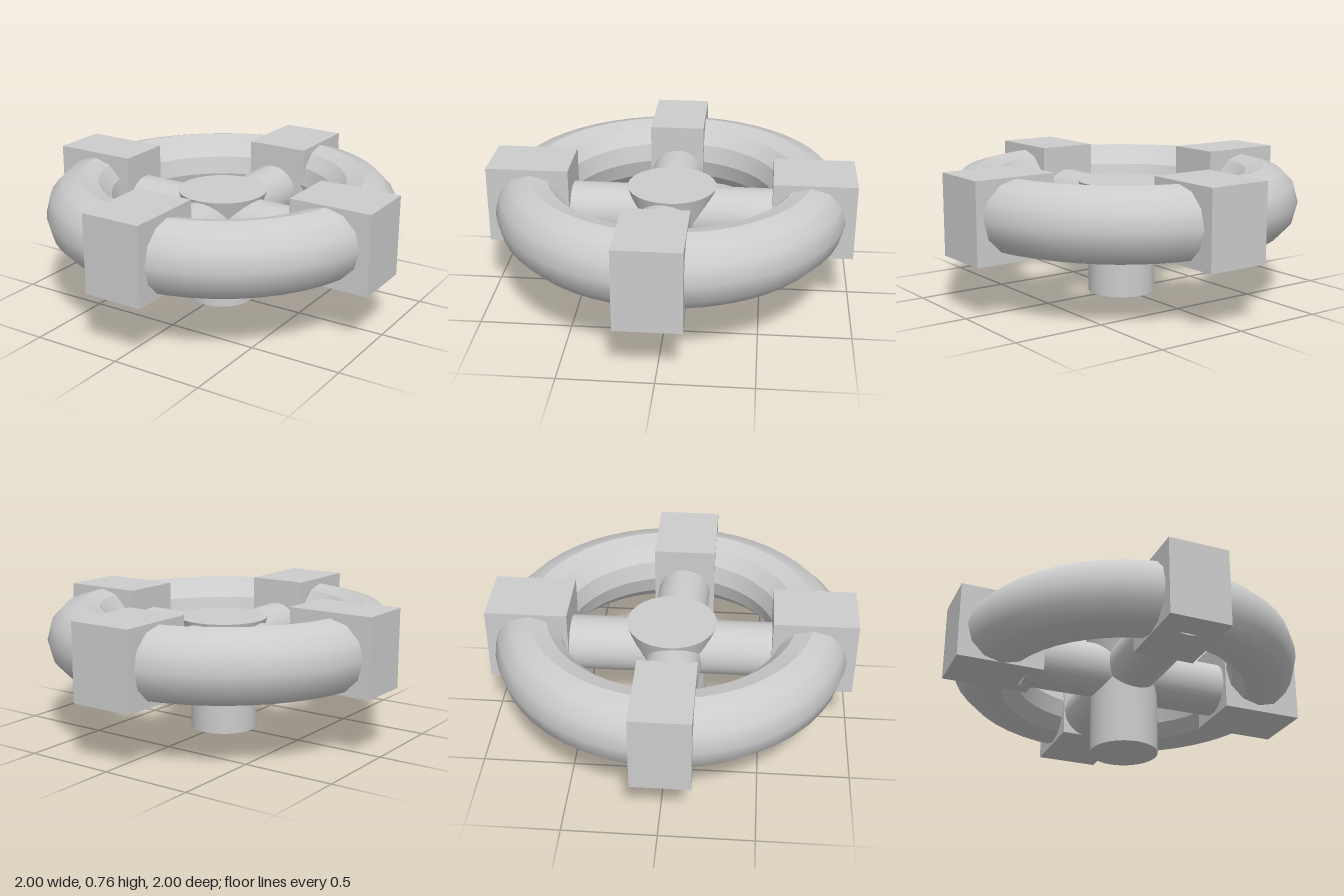
import * as THREE from 'three';

export function createModel() {
  const group = new THREE.Group();
  group.name = 'valveWheel';
  const metal = new THREE.MeshStandardMaterial({ color: 0xcccccc });
  metal.name = 'grey metal';

  function add(geometry, name, parent = group) {
    const mesh = new THREE.Mesh(geometry, metal);
    mesh.name = name;
    parent.add(mesh);
    return mesh;
  }

  // Rim: twelve-sided tube, rounded outside and banded inside
  const rim = new THREE.Group();
  rim.name = 'rim';
  group.add(rim);
  const rimPoint = (i) => {
    const a = (i * Math.PI) / 6;
    return new THREE.Vector2(0.778 + 0.192 * Math.cos(a), 0.53 + 0.198 * Math.sin(a));
  };
  const outer = [-3, -2, -1, 0, 1, 2, 3].map(rimPoint);
  add(new THREE.LatheGeometry(outer, 48), 'rimOuter', rim);
  for (let i = 3; i < 9; i++) {
    add(new THREE.LatheGeometry([rimPoint(i), rimPoint(i + 1)], 48), 'rimInnerBand', rim);
  }

  // Blocks clamped around the rim: min and max corners
  const blocks = [
    ['frontBlock', [-0.17, 0.33, 0.55], [0.165, 0.76, 1]],
    ['backBlock', [-0.155, 0.32, -1], [0.205, 0.742, -0.555]],
    ['leftBlock', [0.54, 0.295, -0.14], [1, 0.737, 0.21]],
    ['rightBlock', [-1, 0.335, -0.14], [-0.525, 0.76, 0.17]],
  ];
  for (const [name, lo, hi] of blocks) {
    const size = hi.map((v, i) => v - lo[i]);
    const mesh = add(new THREE.BoxGeometry(...size), name);
    mesh.position.set(...hi.map((v, i) => (v + lo[i]) / 2));
  }

  // Crossing spokes, each a round bar between two points
  function bar(name, from, to) {
    const a = new THREE.Vector3(...from);
    const b = new THREE.Vector3(...to);
    const mesh = add(new THREE.CylinderGeometry(0.15, 0.15, a.distanceTo(b), 32), name);
    mesh.position.copy(a).lerp(b, 0.5);
    mesh.quaternion.setFromUnitVectors(new THREE.Vector3(0, 1, 0), b.sub(a).normalize());
  }
  bar('sideSpoke', [-0.6, 0.465, 0.01], [0.7, 0.465, 0.037]);
  bar('lengthSpoke', [0, 0.465, -0.68], [0, 0.472, 0.84]);

  // Stem and flared hub cap
  const stem = add(new THREE.CylinderGeometry(0.186, 0.186, 0.45, 32), 'stem');
  stem.position.set(0, 0.225, 0.007);
  const cap = add(new THREE.CylinderGeometry(0.246, 0.186, 0.2, 32), 'hubCap');
  cap.position.set(0, 0.53, 0);

  return group;
}
